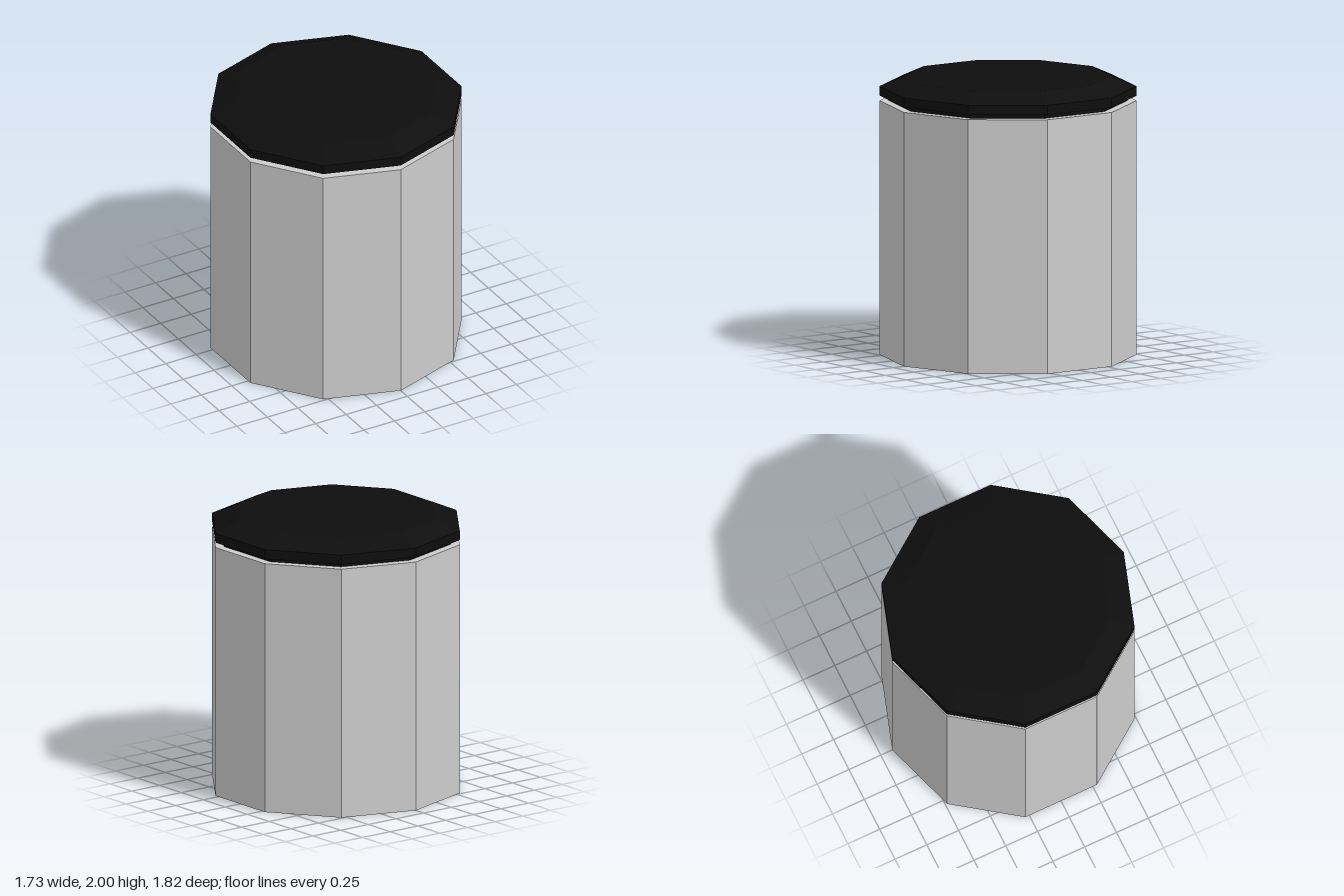
import * as THREE from 'three';

const SIDES = 10;

export function createModel() {
  const group = new THREE.Group();
  const grey = new THREE.MeshStandardMaterial({ color: 0xcccccc, flatShading: true });
  grey.name = 'light grey';
  const black = new THREE.MeshStandardMaterial({ color: 0x0e0e0e, flatShading: true });
  black.name = 'black';

  // Ten-sided prism or frustum between two heights, with a corner facing +z
  function section(name, material, rTop, rBottom, y0, y1, open = false) {
    const geometry = new THREE.CylinderGeometry(rTop, rBottom, y1 - y0, SIDES, 1, open);
    const mesh = new THREE.Mesh(geometry, material);
    mesh.name = name;
    mesh.position.y = (y0 + y1) / 2;
    return mesh;
  }

  // Canister body
  group.add(section('body', grey, 0.91, 0.91, 0, 1.822));

  // Recessed neck between body and lid
  group.add(section('neck', black, 0.845, 0.845, 1.822, 1.857, true));

  // Lid: closed profile with a straight rim and a bevelled top
  const profile = [[0, 1.857], [0.91, 1.857], [0.91, 1.925], [0.737, 2], [0, 2]]
    .map(([r, y]) => new THREE.Vector2(r, y));
  const lid = new THREE.Mesh(new THREE.LatheGeometry(profile, SIDES), black);
  lid.name = 'lid';
  group.add(lid);

  return group;
}
